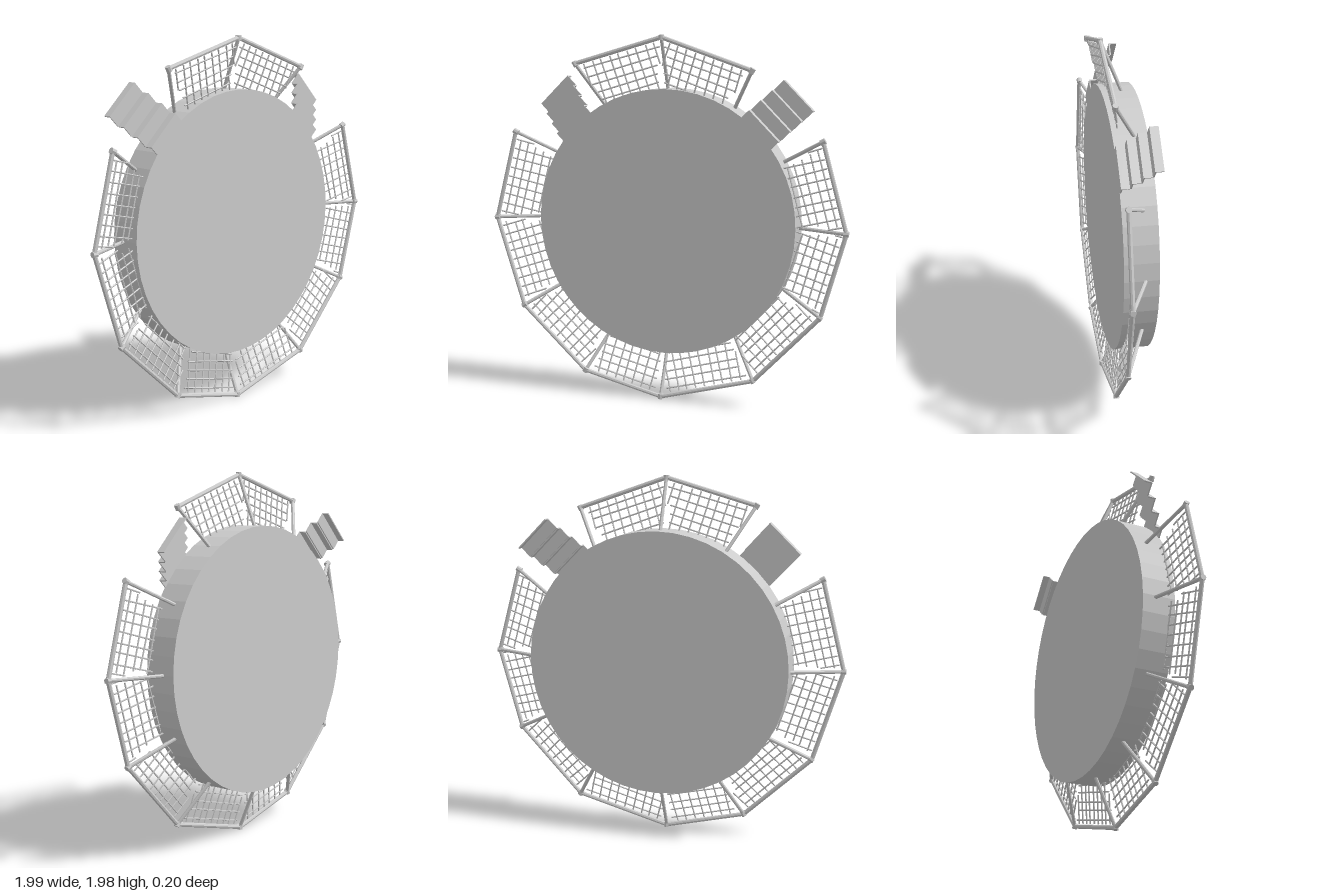
import * as THREE from 'three';
import { mergeGeometries } from 'three/addons/utils/BufferGeometryUtils.js';

const MID = 0.99;        // height of the deck centre
const DECK_R = 0.72;
const FRONT = 0.08, BACK = -0.097;

const grey = new THREE.MeshStandardMaterial({ color: 0xcccccc, flatShading: true });

let seed = 7;
const jitter = (amount) => {
  seed = (seed * 16807) % 2147483647;
  return (seed / 2147483647 - 0.5) * 2 * amount;
};

function add(parent, geometry, name) {
  const mesh = new THREE.Mesh(geometry, grey);
  mesh.name = name;
  parent.add(mesh);
  return mesh;
}

// Straight bar from a to b
function bar(a, b, radius, sides = 8) {
  const dir = b.clone().sub(a);
  const g = new THREE.CylinderGeometry(radius, radius, dir.length(), sides);
  g.applyQuaternion(new THREE.Quaternion().setFromUnitVectors(new THREE.Vector3(0, 1, 0), dir.normalize()));
  const m = a.clone().add(b).multiplyScalar(0.5);
  return g.translate(m.x, m.y, m.z);
}

// Rope grid hung between one frame rail and the deck rim
function netGeometry(a, b) {
  const along = b.clone().sub(a);
  const half = along.length() / 2;
  along.normalize();
  const mid = a.clone().add(b).multiplyScalar(0.5);
  const inward = new THREE.Vector3(-along.y, along.x, 0);
  if (inward.dot(mid) > 0) inward.negate();
  const apothem = -mid.dot(inward);
  const offset = mid.dot(along);
  const at = (t, d) => mid.clone().addScaledVector(along, t).addScaledVector(inward, d)
    .add(new THREE.Vector3(0, 0, -d * 0.16));
  const ropes = [];
  // ropes parallel to the rail
  for (let i = 0; i < 5; i++) {
    const d = 0.04 + i * 0.046;
    const h = half * (1 - d / apothem) - 0.025;
    ropes.push(bar(at(-h + jitter(0.012), d + jitter(0.005)), at(h + jitter(0.012), d + jitter(0.005)), 0.0045, 5));
  }
  // ropes running in towards the deck
  for (let i = 0; i < 9; i++) {
    const t = (i - 4) * 0.052;
    const rim = apothem - Math.sqrt(DECK_R ** 2 - (t + offset) ** 2) + 0.01;
    const side = apothem * (1 - (Math.abs(t) + 0.012) / half);
    const end = Math.min(rim, side);
    if (end > 0.05) ropes.push(bar(at(t + jitter(0.005), 0.015), at(t + jitter(0.005), end), 0.0045, 5));
  }
  return mergeGeometries(ropes);
}

// Folded flight of thin treads and risers, local x pointing outward
function staircase(name, angle) {
  const stair = new THREE.Group();
  stair.name = name;
  const radii = [0.98, 0.907, 0.836, 0.765, 0.70];
  const rise = (FRONT - BACK) / 4, thick = 0.007, width = 0.226;
  for (let i = 0; i < 4; i++) {
    const top = BACK + rise * (i + 1);
    const run = radii[i] - radii[i + 1];
    add(stair, new THREE.BoxGeometry(thick, width, rise), 'riser')
      .position.set(radii[i] - thick / 2, 0, top - rise / 2);
    add(stair, new THREE.BoxGeometry(run, width, thick), 'tread')
      .position.set(radii[i] - run / 2, 0, top - thick / 2);
  }
  stair.rotation.z = angle;
  return stair;
}

export function createModel() {
  const model = new THREE.Group();
  model.name = 'landingPad';
  const pad = new THREE.Group();
  pad.name = 'pad';
  pad.position.y = MID;
  model.add(pad);

  // Deck and its painted rings
  const deck = new THREE.CylinderGeometry(DECK_R, DECK_R, FRONT - BACK, 48).rotateX(Math.PI / 2);
  add(pad, deck, 'deck').position.z = (FRONT + BACK) / 2;
  for (const [inner, outer] of [[0.35, 0.36], [0.54, 0.62]]) {
    add(pad, new THREE.RingGeometry(inner, outer, 64), 'deckRing').position.z = FRONT + 0.001;
  }

  // Frame corners, anticlockwise from the top; rails skip the two stair gaps
  const corners = [
    [-0.01, 1.98], [-0.5, 1.84], [-0.86, 1.465], [-0.985, 0.98], [-0.83, 0.48], [-0.46, 0.13],
    [-0.015, 0.02], [0.505, 0.16], [0.86, 0.535], [0.985, 0.985], [0.855, 1.455], [0.48, 1.81],
  ].map(([x, y]) => new THREE.Vector3(x, y - MID, FRONT + 0.003));

  corners.forEach((a, i) => {
    const b = corners[(i + 1) % corners.length];
    if (i !== 1 && i !== 10) {
      add(pad, bar(a, b, 0.012), 'frameRail');
      add(pad, netGeometry(a, b), 'safetyNet');
    }
    // Strut back to the deck side, with a collar at the corner
    const foot = new THREE.Vector3(a.x, a.y, 0).setLength(DECK_R - 0.01).setZ(-0.03);
    add(pad, bar(a, foot, 0.01), 'strut');
    const out = new THREE.Vector3(a.x, a.y, 0).normalize();
    add(pad, bar(a.clone().addScaledVector(out, -0.016), a.clone().addScaledVector(out, 0.012), 0.0155), 'collar');
  });

  // Stairs in the gaps
  pad.add(staircase('leftStair', Math.PI * 0.248), staircase('rightStair', Math.PI * 0.746));
  return model;
}
